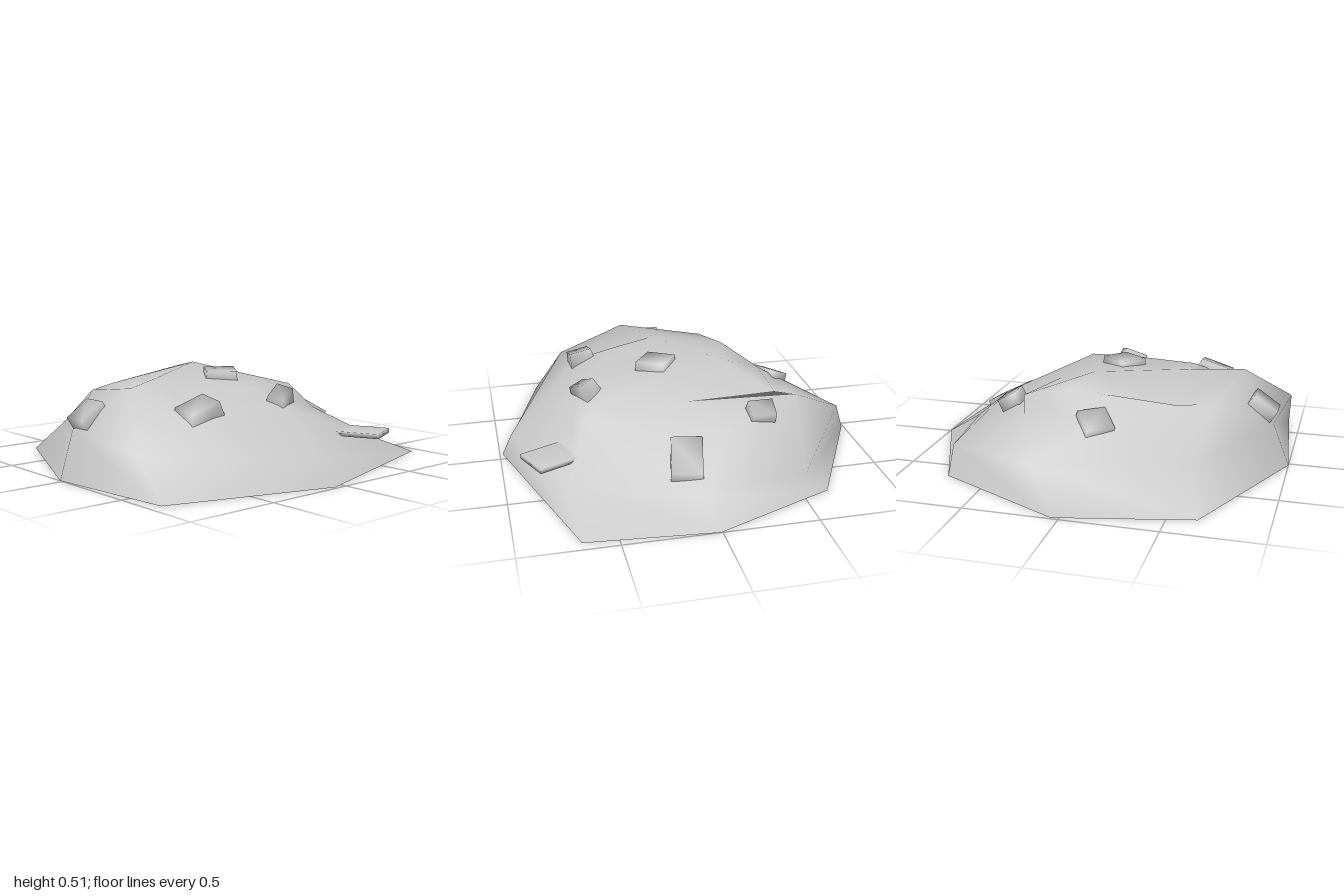
import * as THREE from 'three';
import { mergeVertices } from 'three/addons/utils/BufferGeometryUtils.js';

const material = new THREE.MeshStandardMaterial({ color: 0xcccccc, side: THREE.DoubleSide });

// Rings of the mound from the ground up, each clockwise from the back: [x, y, z]
const RINGS = [
  [[0.04, 0, -0.99], [0.73, 0, -0.64], [1, 0, 0.01], [0.94, 0, 0.68],
    [-0.06, 0, 0.985], [-0.93, 0, 0.71], [-1, 0, -0.02], [-0.65, 0, -0.83]],
  [[0.2, 0.22, -0.88], [0.75, 0.13, -0.51], [0.82, 0.11, 0.04], [0.6, 0.12, 0.7],
    [-0.05, 0.12, 0.93], [-0.95, 0.22, 0.54], [-0.91, 0.24, -0.04], [-0.58, 0.18, -0.62]],
  [[-0.04, 0.33, -0.59], [0.31, 0.37, -0.59], [0.57, 0.33, -0.15], [0.23, 0.32, 0.55],
    [-0.02, 0.355, 0.57], [-0.5, 0.35, 0.5], [-0.71, 0.465, 0.19], [-0.62, 0.4, -0.28]],
  [[0.12, 0.47, -0.43], [0.36, 0.425, -0.45], [0.3, 0.385, 0.02], [0.22, 0.43, 0.38],
    [-0.05, 0.43, 0.39], [-0.4, 0.44, 0.31], [-0.43, 0.483, 0.05], [-0.43, 0.41, -0.37]],
];
const CENTRE = [0.04, 0.51, -0.22];

// Open, smooth-shaded shell stitched from the rings
function moundGeometry() {
  const n = 8;
  const index = [];
  for (let r = 0; r < RINGS.length; r++) {
    for (let i = 0; i < n; i++) {
      const j = (i + 1) % n;
      const a = r * n + i;
      const b = r * n + j;
      if (r === RINGS.length - 1) index.push(a, RINGS.length * n, b);
      else index.push(a, b + n, b, a, a + n, b + n);
    }
  }
  const geometry = new THREE.BufferGeometry();
  const points = [...RINGS.flat(2), ...CENTRE];
  geometry.setAttribute('position', new THREE.Float32BufferAttribute(points, 3));
  geometry.setIndex(index);
  geometry.computeVertexNormals();
  return geometry;
}

// Soft-shaded block whose top is a little narrower than its foot
function stoneGeometry([w, h, d], taper) {
  const box = new THREE.BoxGeometry(w, h, d);
  box.deleteAttribute('normal');
  box.deleteAttribute('uv');
  const geometry = mergeVertices(box);
  const p = geometry.attributes.position;
  for (let i = 0; i < p.count; i++) {
    if (p.getY(i) > 0) p.setXYZ(i, p.getX(i) * taper, p.getY(i), p.getZ(i) * taper);
  }
  geometry.computeVertexNormals();
  return geometry;
}

// Embedded stones: position, size, rotation and top taper
const STONES = [
  { at: [-0.83, 0.3, 0.01], size: [0.16, 0.13, 0.14], turn: [0, 0, 0.6], taper: 0.95 },
  { at: [-0.05, 0.31, -0.54], size: [0.16, 0.13, 0.16], turn: [-0.45, 0.65, 0], taper: 0.95 },
  { at: [0.45, 0.34, -0.35], size: [0.11, 0.12, 0.14], turn: [0, 0, -0.5], taper: 0.95 },
  { at: [-0.04, 0.44, 0.11], size: [0.18, 0.13, 0.18], turn: [0, 0.95, 0.05], taper: 0.92 },
  { at: [0.62, 0.2, 0.09], size: [0.24, 0.12, 0.17], turn: [0, -0.2, -0.5], taper: 0.95 },
  { at: [-0.49, 0.31, 0.46], size: [0.26, 0.19, 0.18], turn: [0.2, 0.05, 0.3], taper: 0.7 },
  { at: [0.03, 0.31, 0.49], size: [0.22, 0.24, 0.15], turn: [0.25, 0.5, 0.4], taper: 0.6 },
  // Flat slab reaching out of the front slope
  { at: [0.34, 0.19, 0.63], size: [0.21, 0.025, 0.52], turn: [0, 0.42, 0], taper: 1 },
];

export function createModel() {
  const model = new THREE.Group();
  model.name = 'rockyMound';

  const mound = new THREE.Mesh(moundGeometry(), material);
  mound.name = 'mound';
  model.add(mound);

  const stones = new THREE.Group();
  stones.name = 'stones';
  STONES.forEach(({ at, size, turn, taper }, i) => {
    const stone = new THREE.Mesh(stoneGeometry(size, taper), material);
    stone.name = `stone${i + 1}`;
    stone.position.set(...at);
    stone.rotation.set(turn[0], turn[1], turn[2], 'YXZ');
    stones.add(stone);
  });
  model.add(stones);
  return model;
}
